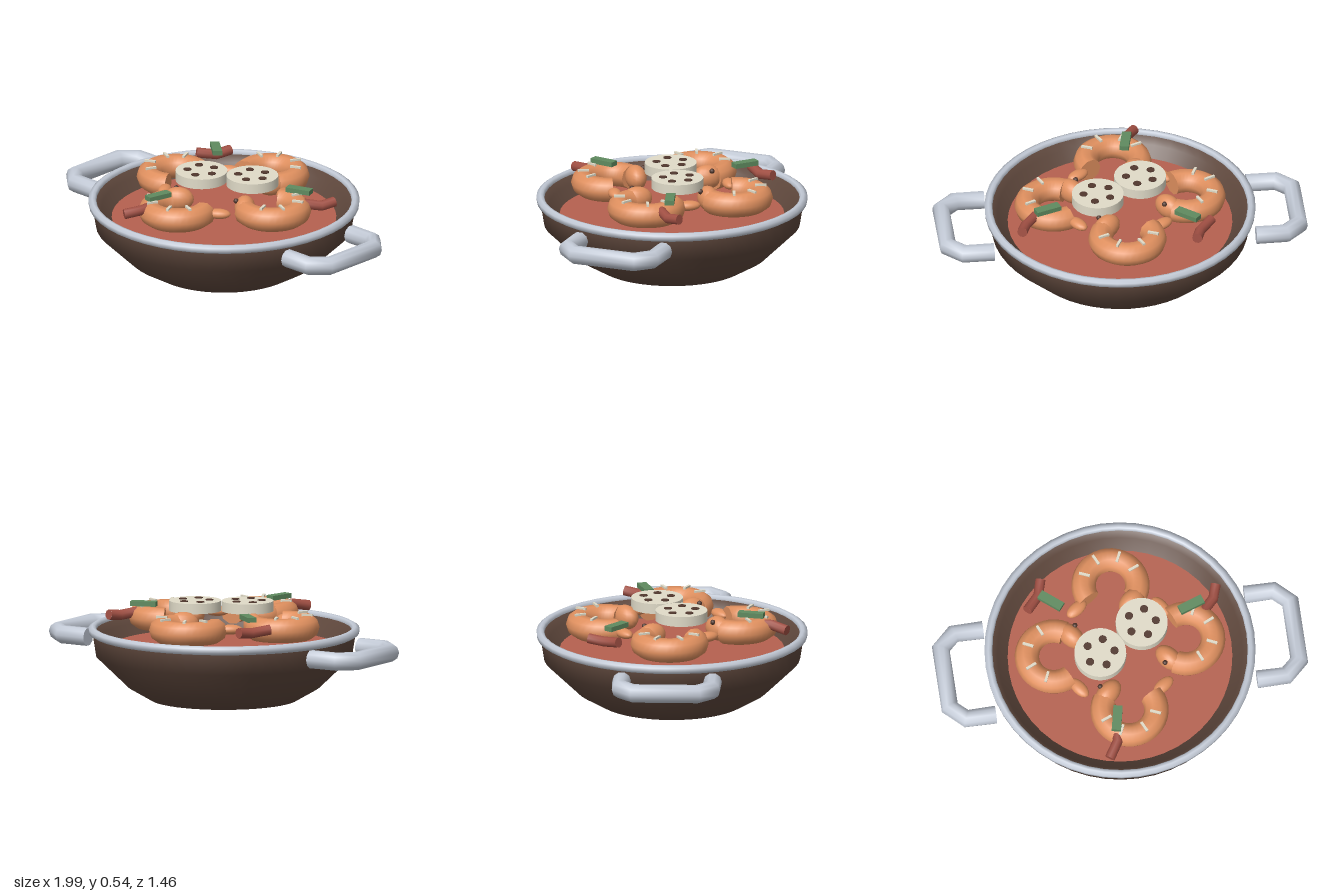
import * as THREE from 'three';

const mat = (name, color) => {
  const m = new THREE.MeshStandardMaterial({ color });
  m.name = name;
  return m;
};

// Curve through straight-line points, one ring per point when used in a tube
class Polyline extends THREE.Curve {
  constructor(points) {
    super();
    this.points = points;
  }
  getPoint(u, target = new THREE.Vector3()) {
    const n = this.points.length - 1;
    const i = Math.min(Math.floor(u * n + 1e-6), n - 1);
    return target.lerpVectors(this.points[i], this.points[i + 1], u * n - i);
  }
  getPointAt(u, target) {
    return this.getPoint(u, target);
  }
  getTangentAt(u, target = new THREE.Vector3()) {
    const p = this.points, i = Math.round(u * (p.length - 1));
    const before = p[Math.max(i - 1, 0)], here = p[i], after = p[Math.min(i + 1, p.length - 1)];
    const a = here.clone().sub(before).normalize(), b = after.clone().sub(here).normalize();
    return target.addVectors(a, b).normalize();
  }
}

export function createModel() {
  const root = new THREE.Group();
  root.name = 'seafoodStew';
  const clay = mat('brown clay', 0x5d463b);
  const metal = mat('pale metal', 0xc3cad6);
  const broth = mat('red broth', 0xb5614f);
  const flesh = mat('orange flesh', 0xe0905f);
  const cream = mat('cream', 0xe0dbc8);
  const dark = mat('dark brown', 0x52382e);
  const green = mat('leek green', 0x5f8a5f);
  const red = mat('chilli red', 0xa04f43);

  const add = (parent, name, geometry, material, x = 0, y = 0, z = 0, turn = 0) => {
    const m = new THREE.Mesh(geometry, material);
    m.name = name;
    m.position.set(x, y, z);
    m.rotation.y = turn;
    parent.add(m);
    return m;
  };
  const lathe = (pts, sides) => new THREE.LatheGeometry(pts.map(p => new THREE.Vector2(...p)), sides);
  const along = (dx, dz) => Math.atan2(-dz, dx);

  // Tube with flat ends
  const tube = (parent, name, coords, radius, sides, material) => {
    const pts = coords.map(p => new THREE.Vector3(...p));
    add(parent, name, new THREE.TubeGeometry(new Polyline(pts), pts.length - 1, radius, sides), material);
    const n = pts.length;
    for (const [end, next] of [[pts[0], pts[1]], [pts[n - 1], pts[n - 2]]]) {
      const cap = add(parent, name + 'End', new THREE.CircleGeometry(radius, sides), material, ...end.toArray());
      cap.lookAt(end.clone().multiplyScalar(2).sub(next));
    }
  };

  // Bowl: outer wall up, inner wall down
  add(root, 'bowl', lathe([[0, 0], [0.4, 0], [0.52, 0.07], [0.69, 0.235], [0.71, 0.36],
    [0.69, 0.375], [0.66, 0.335], [0.59, 0.27]], 48), clay);
  add(root, 'rim', lathe([[0.705, 0.345], [0.728, 0.358], [0.73, 0.383], [0.71, 0.395],
    [0.695, 0.393], [0.687, 0.38], [0.688, 0.36], [0.705, 0.345]], 48), metal);
  add(root, 'broth', new THREE.CircleGeometry(0.605, 48).rotateX(-Math.PI / 2), broth, 0, 0.285, 0);

  // Side handles
  for (const s of [1, -1]) {
    const path = [[0.71, -0.245], [0.87, -0.245], [0.95, -0.17], [0.95, 0.17], [0.87, 0.245], [0.71, 0.245]];
    tube(root, s > 0 ? 'leftHandle' : 'rightHandle', path.map(([x, z]) => [s * x, 0.307, z]), 0.05, 10, metal);
  }

  // Four curled prawns, each opening toward the middle
  const R = 0.145, r = 0.066, y = 0.42;
  const start = -Math.PI * 0.15, arc = Math.PI * 1.32;
  for (let k = 0; k < 4; k++) {
    const prawn = new THREE.Group();
    prawn.name = 'prawn';
    prawn.rotation.y = k * Math.PI / 2;
    root.add(prawn);
    const body = new THREE.TorusGeometry(R, r, 10, 24, arc).rotateZ(start).rotateX(Math.PI / 2);
    add(prawn, 'body', body, flesh, 0, y, 0.36);
    for (const [a, s] of [[start, 1], [start + arc, -1]]) {
      add(prawn, 'bodyEnd', new THREE.CircleGeometry(r, 10), flesh, R * Math.cos(a), y, 0.36 + R * Math.sin(a),
        Math.atan2(s * Math.sin(a), -s * Math.cos(a)));
    }
    const ball = new THREE.SphereGeometry(1, 16, 12);
    add(prawn, 'head', ball, flesh, -0.1, 0.43, 0.252, along(0.12, -0.1)).scale.set(0.085, 0.066, 0.056);
    add(prawn, 'tail', ball, flesh, 0.2, 0.425, 0.25, along(0.1, -0.07)).scale.set(0.066, 0.027, 0.036);
    add(prawn, 'eye', new THREE.SphereGeometry(0.014, 10, 8), dark, -0.14, 0.475, 0.225);
    for (const a of [-67, -25, 25, 67].map(THREE.MathUtils.degToRad)) {
      const dx = Math.sin(a), dz = Math.cos(a);
      add(prawn, 'shellStripe', new THREE.BoxGeometry(0.06, 0.012, 0.014), cream,
        dx * 0.145, 0.487, 0.36 + dz * 0.145, along(dx, dz));
    }
  }

  // Lotus root slices with five holes each
  for (const [x, z, turn] of [[-0.115, 0.055, 0], [0.13, -0.085, 0]]) {
    const slice = new THREE.Group();
    slice.name = 'lotusSlice';
    slice.position.set(x, 0.48, z);
    slice.rotation.y = turn;
    root.add(slice);
    add(slice, 'sliceSide', new THREE.CylinderGeometry(0.14, 0.14, 0.055, 32), cream, 0, 0.0275, 0);
    for (let i = 0; i < 5; i++) {
      const a = i * Math.PI * 0.4;
      add(slice, 'hole', new THREE.CylinderGeometry(0.022, 0.022, 0.008, 14), dark,
        Math.cos(a) * 0.077, 0.055, Math.sin(a) * 0.077);
    }
  }

  // Leek strips
  for (const [x, z, dx, dz] of [[-0.335, -0.287, 0.11, 0.09], [0.41, -0.158, 0.14, -0.05], [-0.077, 0.43, -0.03, 0.14]]) {
    add(root, 'leekStrip', new THREE.BoxGeometry(0.14, 0.026, 0.05), green, x, 0.503, z, along(dx, dz));
  }

  // Bent chilli pieces
  tube(root, 'chilli', [[-0.465, 0.45, -0.27], [-0.395, 0.435, -0.35], [-0.37, 0.445, -0.435]], 0.028, 10, red);
  tube(root, 'chilli', [[0.56, 0.445, -0.275], [0.535, 0.435, -0.2], [0.47, 0.45, -0.13]], 0.028, 10, red);
  tube(root, 'chilli', [[-0.145, 0.435, 0.625], [-0.09, 0.45, 0.54], [-0.085, 0.455, 0.46]], 0.028, 10, red);

  return root;
}
